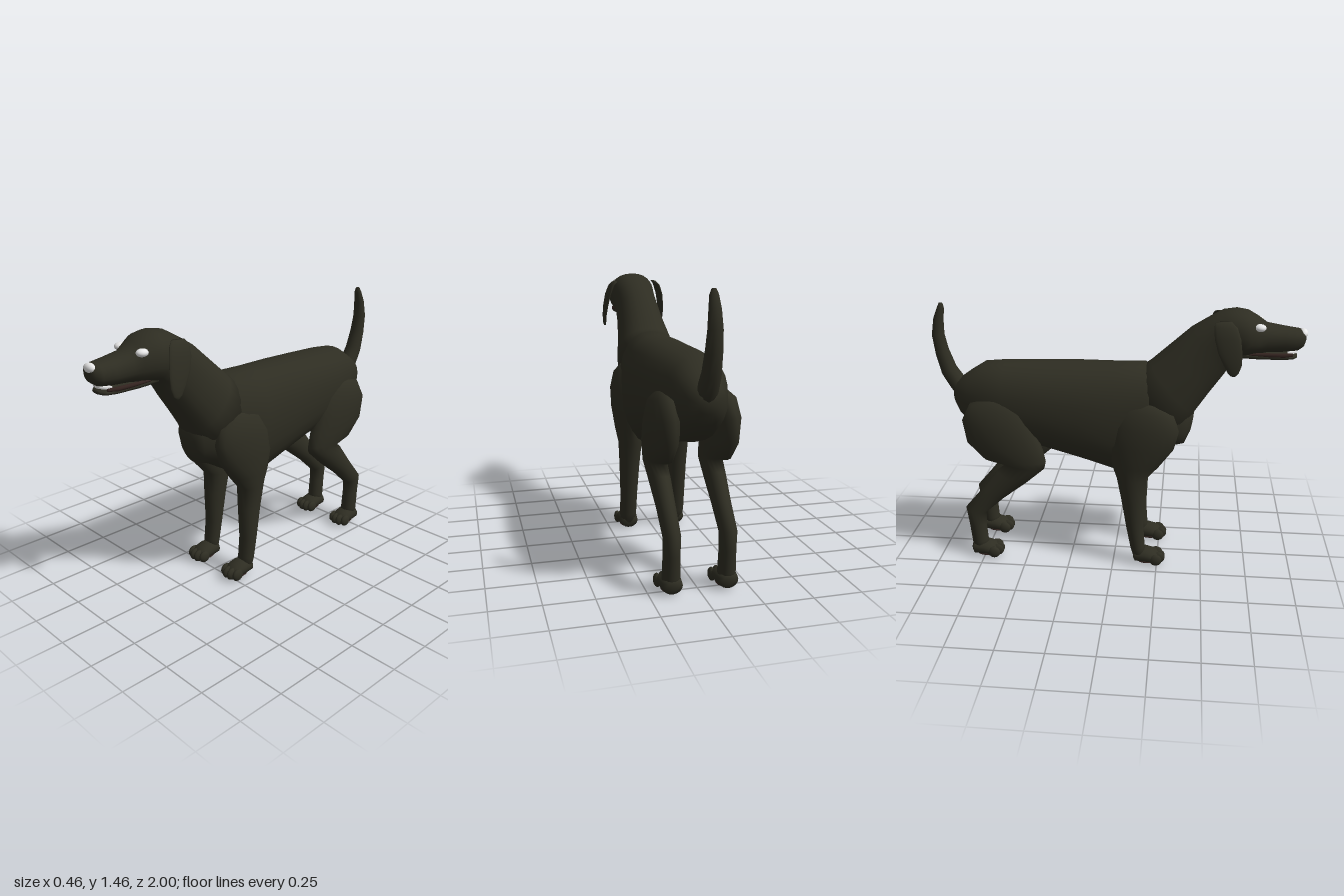
import * as THREE from 'three';

const coat = new THREE.MeshStandardMaterial({ color: 0x2e2d22 });
coat.name = 'dark coat';
const white = new THREE.MeshStandardMaterial({ color: 0xe8e8e8 });
white.name = 'white';
const skin = new THREE.MeshStandardMaterial({ color: 0x33231f });
skin.name = 'lip and pad skin';

// Skins oval sections [x, z1, y1, z2, y2, halfWidth]; each oval spans the line from (z1,y1) to (z2,y2).
function loft(name, sections, { side = 1, n = 18, material = coat, power = 1 } = {}) {
  const pos = [], idx = [], rows = sections.length;
  const shape = v => Math.sign(v) * Math.abs(v) ** power;
  for (const [x, z1, y1, z2, y2, w] of sections) {
    for (let i = 0; i < n; i++) {
      const a = (i / n) * Math.PI * 2, c = shape(Math.cos(a)), s = shape(Math.sin(a));
      pos.push(side * x + w * c, (y1 + y2) / 2 + s * (y1 - y2) / 2, (z1 + z2) / 2 + s * (z1 - z2) / 2);
    }
  }
  for (const [x, z1, y1, z2, y2] of [sections[0], sections[rows - 1]]) {
    pos.push(side * x, (y1 + y2) / 2, (z1 + z2) / 2);
  }
  for (let r = 0; r < rows - 1; r++) {
    for (let i = 0; i < n; i++) {
      const a = r * n + i, b = r * n + (i + 1) % n;
      idx.push(a, b, a + n, b, b + n, a + n);
    }
  }
  for (let i = 0; i < n; i++) {
    const j = (i + 1) % n, last = (rows - 1) * n;
    idx.push(rows * n, j, i, rows * n + 1, last + i, last + j);
  }
  // Turn the faces outward when the enclosed volume is negative
  const p = k => new THREE.Vector3().fromArray(pos, k * 3);
  let volume = 0;
  for (let k = 0; k < idx.length; k += 3) volume += p(idx[k]).dot(p(idx[k + 1]).cross(p(idx[k + 2])));
  if (volume < 0) idx.reverse();
  const geo = new THREE.BufferGeometry();
  geo.setAttribute('position', new THREE.Float32BufferAttribute(pos, 3));
  geo.setIndex(idx);
  geo.computeVertexNormals();
  const mesh = new THREE.Mesh(geo, material);
  mesh.name = name;
  return mesh;
}

function ball(name, material, at, size) {
  const mesh = new THREE.Mesh(new THREE.SphereGeometry(1, 16, 10), material);
  mesh.name = name;
  mesh.position.set(...at);
  mesh.scale.set(...size);
  return mesh;
}

// Paw with four toes and a pad; z is the heel position
function paw(name, x, z) {
  const g = new THREE.Group();
  g.name = name;
  g.add(loft('pawBody', [
    [x, z, 0.075, z, 0.03, 0.03], [x, z + 0.015, 0.09, z + 0.01, 0.008, 0.05],
    [x, z + 0.07, 0.095, z + 0.07, 0.005, 0.058], [x, z + 0.12, 0.08, z + 0.12, 0.005, 0.058],
    [x, z + 0.155, 0.055, z + 0.155, 0.012, 0.045]
  ]));
  for (let i = 0; i < 4; i++) {
    const d = i - 1.5, inner = Math.abs(d) < 1;
    g.add(ball('toe', coat, [x + d * 0.031, 0.036, z + (inner ? 0.145 : 0.13)], [0.019, 0.034, 0.036]));
  }
  g.add(ball('pad', skin, [x, 0.012, z + 0.08], [0.042, 0.012, 0.06]));
  return g;
}

export function createModel() {
  const dog = new THREE.Group();
  dog.name = 'dog';

  dog.add(loft('torso', [
    [0, 0.43, 0.88, 0.41, 0.77, 0.06], [0, 0.405, 0.95, 0.38, 0.70, 0.10],
    [0, 0.34, 1.02, 0.33, 0.69, 0.135], [0, 0.26, 1.09, 0.26, 0.65, 0.16],
    [0, 0.16, 1.155, 0.14, 0.58, 0.185], [0, 0, 1.15, 0.02, 0.53, 0.2],
    [0, -0.2, 1.15, -0.18, 0.595, 0.2], [0, -0.4, 1.145, -0.4, 0.66, 0.195],
    [0, -0.6, 1.14, -0.58, 0.69, 0.18], [0, -0.72, 1.13, -0.7, 0.72, 0.155],
    [0, -0.8, 1.08, -0.79, 0.78, 0.125], [0, -0.87, 1.03, -0.85, 0.83, 0.09],
    [0, -0.895, 0.98, -0.885, 0.89, 0.045]
  ], { n: 24, power: 0.88 }));

  dog.add(loft('neckAndHead', [
    [0, 0.1, 1.1, 0.36, 0.75, 0.17], [0, 0.19, 1.165, 0.43, 0.89, 0.16],
    [0, 0.3, 1.265, 0.51, 1.01, 0.135], [0, 0.4, 1.355, 0.58, 1.11, 0.122],
    [0, 0.48, 1.405, 0.62, 1.18, 0.12], [0, 0.56, 1.45, 0.65, 1.205, 0.128],
    [0, 0.63, 1.46, 0.68, 1.215, 0.137], [0, 0.69, 1.45, 0.71, 1.22, 0.13],
    [0, 0.745, 1.42, 0.75, 1.225, 0.105], [0, 0.79, 1.388, 0.79, 1.235, 0.088],
    [0, 0.88, 1.372, 0.88, 1.24, 0.08], [0, 0.95, 1.362, 0.95, 1.248, 0.07],
    [0, 0.98, 1.355, 0.98, 1.27, 0.05], [0, 0.99, 1.335, 0.99, 1.3, 0.025]
  ], { n: 24, power: 0.9 }));

  // Mouth
  dog.add(loft('lowerJaw', [
    [0, 0.65, 1.25, 0.65, 1.205, 0.08], [0, 0.75, 1.25, 0.75, 1.2, 0.083],
    [0, 0.88, 1.24, 0.88, 1.2, 0.074], [0, 0.93, 1.235, 0.93, 1.203, 0.06],
    [0, 0.95, 1.23, 0.95, 1.21, 0.035]
  ]));
  for (const s of [-1, 1]) {
    dog.add(loft('lip', [
      [0.074, 0.7, 1.246, 0.7, 1.232, 0.01], [0.076, 0.8, 1.248, 0.8, 1.226, 0.01],
      [0.068, 0.88, 1.246, 0.88, 1.222, 0.01], [0.054, 0.925, 1.242, 0.925, 1.226, 0.008]
    ], { side: s, n: 8, material: skin }));
  }
  const teeth = new THREE.Mesh(
    new THREE.CylinderGeometry(0.053, 0.053, 0.009, 16, 1, false, -Math.PI / 2, Math.PI), white);
  teeth.name = 'teeth';
  teeth.position.set(0, 1.242, 0.897);
  dog.add(teeth);
  dog.add(ball('nose', white, [0, 1.338, 0.975], [0.042, 0.024, 0.024]));

  // Tail
  dog.add(loft('tail', [
    [0, -0.8, 1.0, -0.88, 0.93, 0.05], [0, -0.84, 1.04, -0.915, 0.98, 0.05],
    [0, -0.88, 1.1, -0.96, 1.06, 0.046], [0, -0.915, 1.2, -0.985, 1.17, 0.041],
    [0, -0.93, 1.28, -0.998, 1.28, 0.036], [0, -0.928, 1.36, -0.982, 1.37, 0.03],
    [0, -0.92, 1.42, -0.957, 1.43, 0.022], [0, -0.925, 1.45, -0.945, 1.453, 0.011]
  ], { n: 12 }));

  for (const s of [-1, 1]) {
    const tag = s > 0 ? 'left' : 'right';
    dog.add(ball(tag + 'Eye', white, [s * 0.085, 1.382, 0.745], [0.028, 0.02, 0.032]));

    dog.add(loft(tag + 'Ear', [
      [0.118, 0.6, 1.42, 0.52, 1.415, 0.012], [0.14, 0.63, 1.395, 0.51, 1.395, 0.014],
      [0.16, 0.65, 1.34, 0.515, 1.34, 0.012], [0.172, 0.66, 1.27, 0.535, 1.27, 0.01],
      [0.177, 0.66, 1.21, 0.565, 1.21, 0.009], [0.176, 0.645, 1.165, 0.59, 1.165, 0.008],
      [0.175, 0.63, 1.15, 0.605, 1.15, 0.005]
    ], { side: s, n: 14 }));

    dog.add(loft(tag + 'FrontLeg', [
      [0.135, 0.25, 0.965, 0.15, 0.98, 0.03], [0.142, 0.325, 0.91, 0.05, 0.95, 0.064],
      [0.148, 0.355, 0.82, -0.01, 0.85, 0.08], [0.15, 0.33, 0.72, -0.025, 0.73, 0.077],
      [0.145, 0.25, 0.61, -0.005, 0.61, 0.071], [0.138, 0.182, 0.53, 0.02, 0.53, 0.066],
      [0.14, 0.18, 0.4, 0.045, 0.4, 0.057], [0.143, 0.172, 0.22, 0.075, 0.22, 0.049],
      [0.144, 0.18, 0.11, 0.1, 0.09, 0.048], [0.142, 0.19, 0.06, 0.12, 0.02, 0.045]
    ], { side: s }));
    dog.add(paw(tag + 'FrontPaw', s * 0.14, 0.115));

    dog.add(loft(tag + 'HindLeg', [
      [0.125, -0.54, 0.965, -0.67, 0.975, 0.035], [0.138, -0.46, 0.89, -0.78, 0.94, 0.07],
      [0.147, -0.42, 0.78, -0.825, 0.85, 0.08], [0.15, -0.385, 0.68, -0.805, 0.72, 0.075],
      [0.148, -0.372, 0.61, -0.72, 0.625, 0.064], [0.145, -0.382, 0.57, -0.59, 0.595, 0.056],
      [0.142, -0.49, 0.475, -0.65, 0.545, 0.052], [0.14, -0.62, 0.375, -0.74, 0.43, 0.046],
      [0.14, -0.73, 0.275, -0.845, 0.305, 0.043], [0.14, -0.735, 0.2, -0.832, 0.2, 0.042],
      [0.14, -0.73, 0.1, -0.822, 0.085, 0.045], [0.14, -0.72, 0.06, -0.81, 0.02, 0.044]
    ], { side: s }));
    dog.add(paw(tag + 'HindPaw', s * 0.14, -0.82));
  }
  return dog;
}
